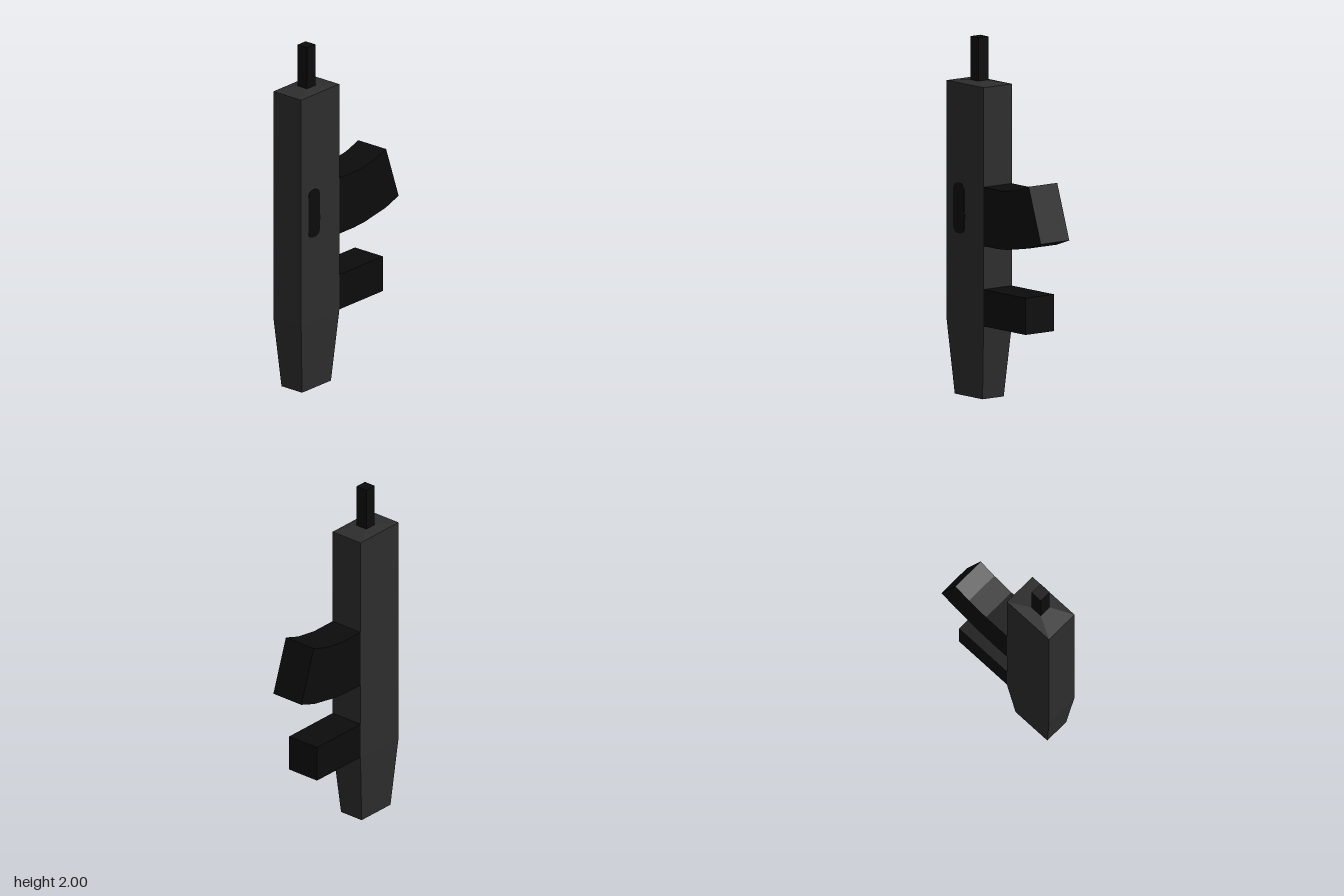
import * as THREE from 'three';

const bodyGrey = new THREE.MeshStandardMaterial({ color: 0x2d2d2d });
bodyGrey.name = 'charcoal';
const partBlack = new THREE.MeshStandardMaterial({ color: 0x0c0c0c });
partBlack.name = 'black';

// Flat-faced solid through rectangular sections [y, halfWidth, zBack, zFront]
function loftRects(sections) {
  const rings = sections.map(([y, w, b, f]) => [[-w, y, b], [-w, y, f], [w, y, f], [w, y, b]]);
  const pos = [];
  const quad = (a, b, c, d) => pos.push(...a, ...b, ...c, ...a, ...c, ...d);
  for (let i = 0; i < rings.length - 1; i++) {
    const lo = rings[i], hi = rings[i + 1];
    for (let j = 0; j < 4; j++) {
      const k = (j + 1) % 4;
      quad(lo[j], lo[k], hi[k], hi[j]);
    }
  }
  const first = rings[0], last = rings[rings.length - 1];
  quad(first[3], first[2], first[1], first[0]);
  quad(...last);
  const geo = new THREE.BufferGeometry();
  geo.setAttribute('position', new THREE.Float32BufferAttribute(pos, 3));
  geo.computeVertexNormals();
  return geo;
}

// Side profile drawn in (z, y), extruded across x from xMin to xMax
function extrudeSide(shape, xMin, xMax) {
  const geo = new THREE.ExtrudeGeometry(shape, { depth: xMax - xMin, bevelEnabled: false, curveSegments: 5 });
  return geo.rotateY(-Math.PI / 2).translate(xMax, 0, 0);
}

export function createModel() {
  const model = new THREE.Group();
  const add = (name, geo, mat) => {
    const mesh = new THREE.Mesh(geo, mat);
    mesh.name = name;
    model.add(mesh);
  };

  // Upright body: tapered stock end, straight receiver, shallow sloped cap
  add('body', loftRects([
    [0, 0.075, 0.13, 0.372],
    [0.41, 0.101, 0.09, 0.41],
    [1.745, 0.101, 0.09, 0.41],
    [1.758, 0.035, 0.215, 0.285],
  ]), bodyGrey);

  // Square barrel
  add('barrel', new THREE.BoxGeometry(0.07, 0.25, 0.07).translate(0, 1.875, 0.25), partBlack);

  // Straight grip, as wide as the body
  add('grip', new THREE.BoxGeometry(0.202, 0.205, 0.365).translate(0, 0.5175, -0.0925), partBlack);

  // Curved magazine
  const magazine = [[0.09, 1.19], [0.09, 0.862], [-0.03, 0.862], [-0.12, 0.868], [-0.3, 0.9],
    [-0.408, 0.938], [-0.303, 1.245], [-0.2, 1.21], [-0.07, 1.19]];
  const magShape = new THREE.Shape(magazine.map(([z, y]) => new THREE.Vector2(z, y)));
  add('magazine', extrudeSide(magShape, -0.101, 0.101), partBlack);

  // Ejection port: thin rounded plate on the left face
  const [z0, z1, y0, y1, r] = [0.256, 0.35, 0.907, 1.187, 0.036];
  const port = new THREE.Shape();
  port.absarc(z1 - r, y1 - r, r, 0, Math.PI / 2);
  port.absarc(z0 + r, y1 - r, r, Math.PI / 2, Math.PI);
  port.lineTo(z0, 1.03); // small catch on the rear edge
  port.lineTo(z0 - 0.005, 1.02);
  port.lineTo(z0 - 0.005, 0.995);
  port.lineTo(z0, 0.985);
  port.absarc(z0 + r, y0 + r, r, Math.PI, Math.PI * 1.5);
  port.absarc(z1 - r, y0 + r, r, Math.PI * 1.5, Math.PI * 2);
  add('ejectionPort', extrudeSide(port, 0.1, 0.104), partBlack);

  return model;
}
